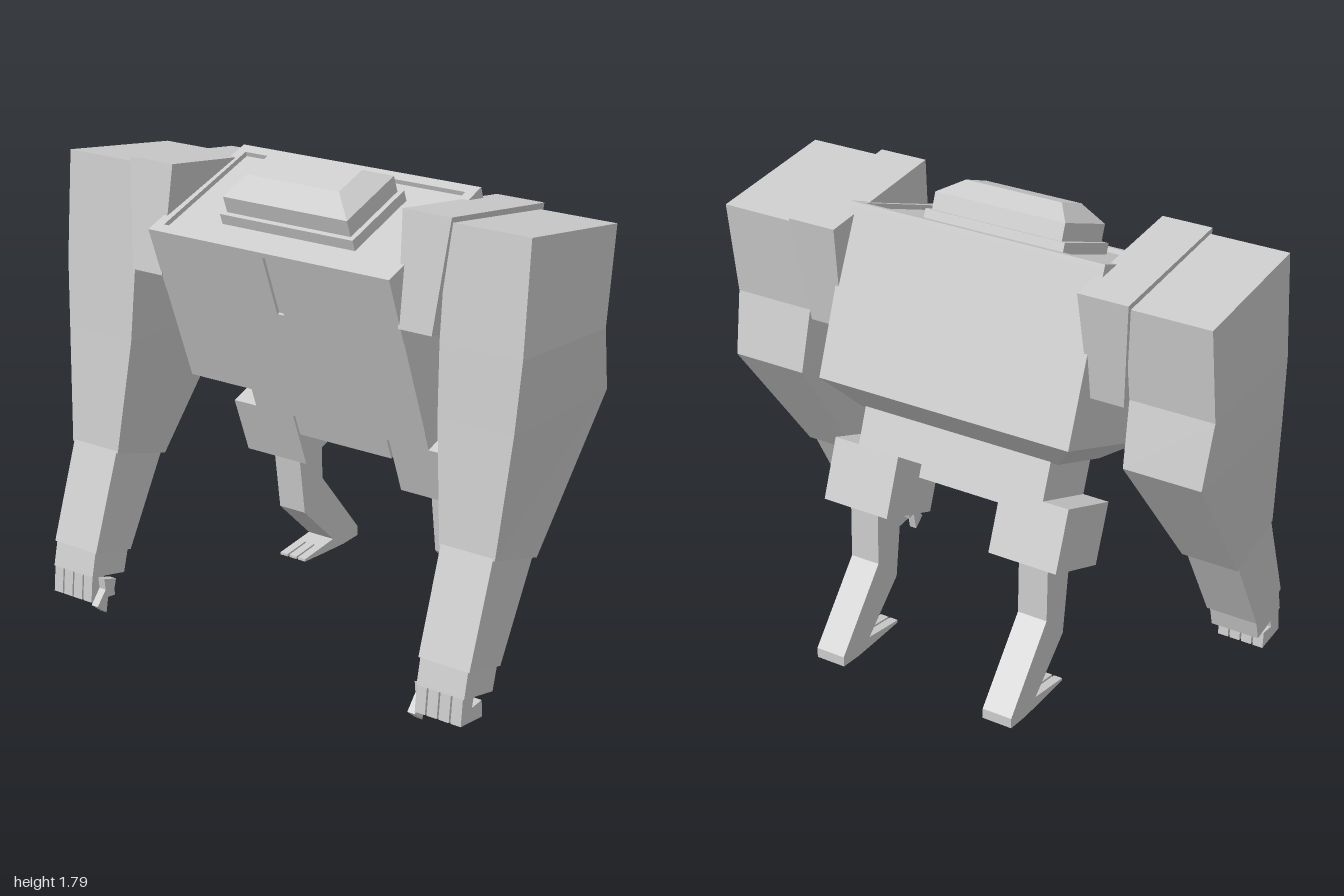
import * as THREE from 'three';

const material = new THREE.MeshStandardMaterial({ color: 0xcccccc, flatShading: true });

function add(parent, name, geometry) {
  const mesh = new THREE.Mesh(geometry, material);
  mesh.name = name;
  parent.add(mesh);
  return mesh;
}

// Box given by its limits on each axis
function box(x0, x1, y0, y1, z0, z1) {
  return new THREE.BoxGeometry(x1 - x0, y1 - y0, z1 - z0)
    .translate((x0 + x1) / 2, (y0 + y1) / 2, (z0 + z1) / 2);
}

// Four-sided loft; rows run top to bottom: [x0, x1, zFront, yFront, zBack, yBack]
function loft(rows) {
  const rings = rows.map(([x0, x1, zf, yf, zb, yb]) =>
    [[x0, yf, zf], [x1, yf, zf], [x1, yb, zb], [x0, yb, zb]]);
  const pos = [];
  const quad = (a, b, c, d) => pos.push(...a, ...b, ...c, ...a, ...c, ...d);
  for (let r = 0; r < rings.length - 1; r++) {
    const up = rings[r], low = rings[r + 1];
    for (let i = 0; i < 4; i++) {
      const j = (i + 1) % 4;
      quad(low[i], low[j], up[j], up[i]);
    }
  }
  const top = rings[0], end = rings[rings.length - 1];
  quad(top[0], top[1], top[2], top[3]);
  quad(end[3], end[2], end[1], end[0]);
  const g = new THREE.BufferGeometry();
  g.setAttribute('position', new THREE.Float32BufferAttribute(pos, 3));
  g.computeVertexNormals();
  return g;
}

// Side profile of [z, y] points, extruded from x0 to x1
function profile(points, x0, x1) {
  const shape = new THREE.Shape(points.map(([z, y]) => new THREE.Vector2(z, y)));
  return new THREE.ExtrudeGeometry(shape, { depth: x1 - x0, bevelEnabled: false })
    .rotateY(-Math.PI / 2).translate(x1, 0, 0);
}

// Mirrors an x range to the chosen side
const span = (s, a, b) => (s > 0 ? [a, b] : [-b, -a]);

function buildBody() {
  const body = new THREE.Group();
  body.name = 'body';
  body.position.set(0, 1.316, 0.034);
  body.rotation.x = 0.35;

  // Main hull and the tapered underside
  add(body, 'torso', box(-0.525, 0.525, -0.325, 0.308, -0.293, 0.281));
  add(body, 'lowerFrontPanel', box(-0.525, 0.525, -0.325, 0.065, 0.281, 0.291));
  add(body, 'underside', loft([
    [-0.525, 0.525, 0.291, -0.325, -0.293, -0.325],
    [-0.42, 0.42, 0.16, -0.411, -0.147, -0.411],
  ]));

  // Raised rim around the top deck
  const rim = new THREE.Shape([[-0.525, -0.293], [0.525, -0.293], [0.525, 0.293], [-0.525, 0.293]]
    .map((p) => new THREE.Vector2(...p)));
  rim.holes.push(new THREE.Path([[-0.485, -0.25], [-0.485, 0.25], [0.485, 0.25], [0.485, -0.25]]
    .map((p) => new THREE.Vector2(...p))));
  add(body, 'topRim', new THREE.ExtrudeGeometry(rim, { depth: 0.02, bevelEnabled: false })
    .rotateX(-Math.PI / 2).translate(0, 0.306, 0));

  // Canopy on its base frame
  add(body, 'canopyFrame', box(-0.29, 0.29, 0.3, 0.35, -0.165, 0.16));
  add(body, 'canopy', loft([
    [-0.2, 0.2, 0.067, 0.474, -0.075, 0.474],
    [-0.27, 0.27, 0.142, 0.415, -0.152, 0.415],
    [-0.27, 0.27, 0.142, 0.33, -0.152, 0.33],
  ]));

  // Hips
  add(body, 'pelvis', box(-0.395, 0.395, -0.552, -0.4, -0.155, 0.143));
  add(body, 'crotch', box(-0.21, 0.21, -0.64, -0.54, 0, 0.143));

  for (const s of [1, -1]) {
    add(body, 'chestPanel', box(...span(s, 0.015, 0.525), 0.065, 0.308, 0.281, 0.293));
    add(body, 'thigh', box(...span(s, 0.22, 0.5), -0.787, -0.55, -0.155, 0.143));
  }
  return body;
}

function buildLeg(s) {
  const leg = new THREE.Group();
  leg.name = s > 0 ? 'leftLeg' : 'rightLeg';
  add(leg, 'shin', profile([
    [-0.165, 0.57], [-0.205, 0.27], [-0.39, 0.095], [-0.32, 0.086], [-0.32, 0.056],
    [-0.46, 0.05], [-0.555, 0.055], [-0.555, 0.095], [-0.32, 0.38], [-0.315, 0.62],
  ], ...span(s, 0.307, 0.428)));
  for (let i = 0; i < 3; i++) {
    const x = 0.307 + i * 0.043;
    add(leg, 'toe', profile([[-0.32, 0.056], [-0.205, 0.062], [-0.205, 0.072], [-0.32, 0.086]],
      ...span(s, x, x + 0.035)));
  }
  return leg;
}

function buildArm(s) {
  const arm = new THREE.Group();
  arm.name = s > 0 ? 'leftArm' : 'rightArm';
  const row = (a, b, ...rest) => [...span(s, a, b), ...rest];

  // Shoulder pad bridging torso and arm
  add(arm, 'shoulderPad', loft([
    row(0.5, 0.697, 0.31, 1.74, -0.27, 1.665),
    row(0.52, 0.657, 0.36, 1.335, -0.21, 1.255),
  ]));
  add(arm, 'upperArm', loft([
    row(0.672, 1, 0.3, 1.72, -0.25, 1.645),
    row(0.672, 1, 0.335, 1.31, -0.2, 1.285),
    row(0.682, 0.986, 0.355, 1.05, -0.25, 1.045),
    row(0.727, 0.952, 0.4, 0.61, 0.13, 0.53),
  ]));
  add(arm, 'forearm', loft([
    row(0.733, 0.945, 0.395, 0.63, 0.14, 0.55),
    row(0.736, 0.944, 0.53, 0.245, 0.335, 0.195),
  ]));
  add(arm, 'wrist', loft([
    row(0.742, 0.937, 0.525, 0.25, 0.345, 0.2),
    row(0.742, 0.937, 0.548, 0.15, 0.37, 0.11),
  ]));

  // Curled fingers and an inner thumb
  for (let i = 0; i < 4; i++) {
    const x = 0.743 + i * 0.049;
    add(arm, 'finger', profile([
      [0.547, 0.155], [0.48, 0.14], [0.49, 0.095], [0.43, 0.1], [0.425, 0.035], [0.558, 0.05],
    ], ...span(s, x, x + 0.042)));
  }
  add(arm, 'thumb', profile([
    [0.515, 0.14], [0.45, 0.12], [0.465, 0.07], [0.495, 0.075], [0.51, 0], [0.558, 0.04], [0.51, 0.095],
  ], ...span(s, 0.712, 0.743)));
  return arm;
}

export function createModel() {
  const model = new THREE.Group();
  model.name = 'walker';
  model.add(buildBody());
  for (const s of [1, -1]) model.add(buildArm(s), buildLeg(s));
  return model;
}
